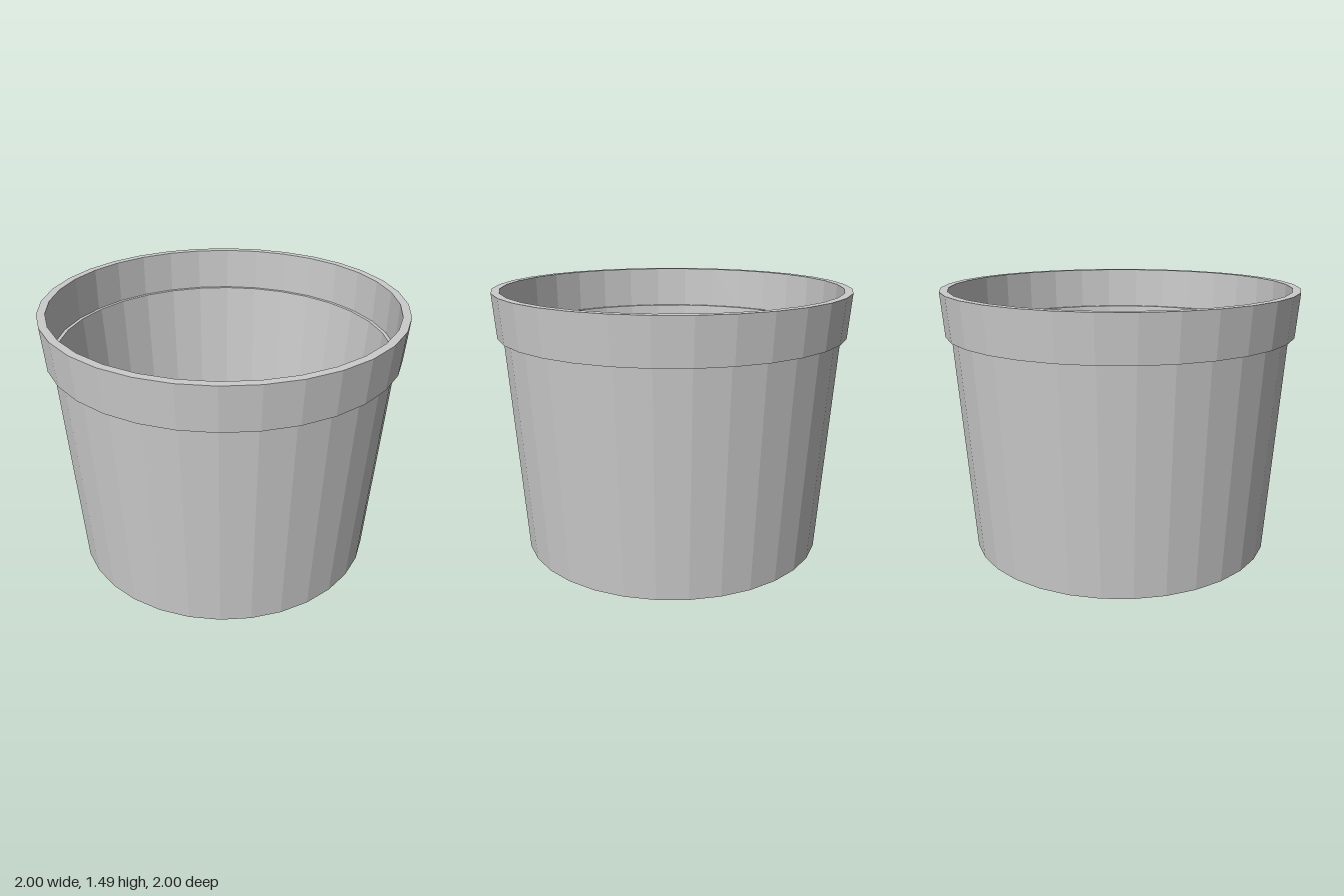
import * as THREE from 'three';

const SIDES = 32;

// Revolves a [radius, height] profile into a faceted shell
function revolve(name, profile, material) {
  const points = profile.map(([r, y]) => new THREE.Vector2(r, y));
  const mesh = new THREE.Mesh(new THREE.LatheGeometry(points, SIDES), material);
  mesh.name = name;
  return mesh;
}

export function createModel() {
  const group = new THREE.Group();
  group.name = 'plantPot';
  const material = new THREE.MeshStandardMaterial({ color: 0xcccccc, flatShading: true });

  const rimBase = 1.24;
  const top = 1.485;

  // Tapered body: underside, outer wall
  group.add(revolve('outerBody', [[0, 0], [0.864, 0], [0.948, rimBase]], material));

  // Collar: lower lip, outer band, top edge, inner band, inner ledge
  group.add(revolve('rim', [
    [0.948, rimBase], [0.98, rimBase], [1, top],
    [0.955, top], [0.95, rimBase], [0.93, rimBase],
  ], material));

  // Inside of the pot: inner wall and floor
  group.add(revolve('innerBody', [[0.93, rimBase], [0.84, 0.02], [0, 0.02]], material));

  return group;
}
